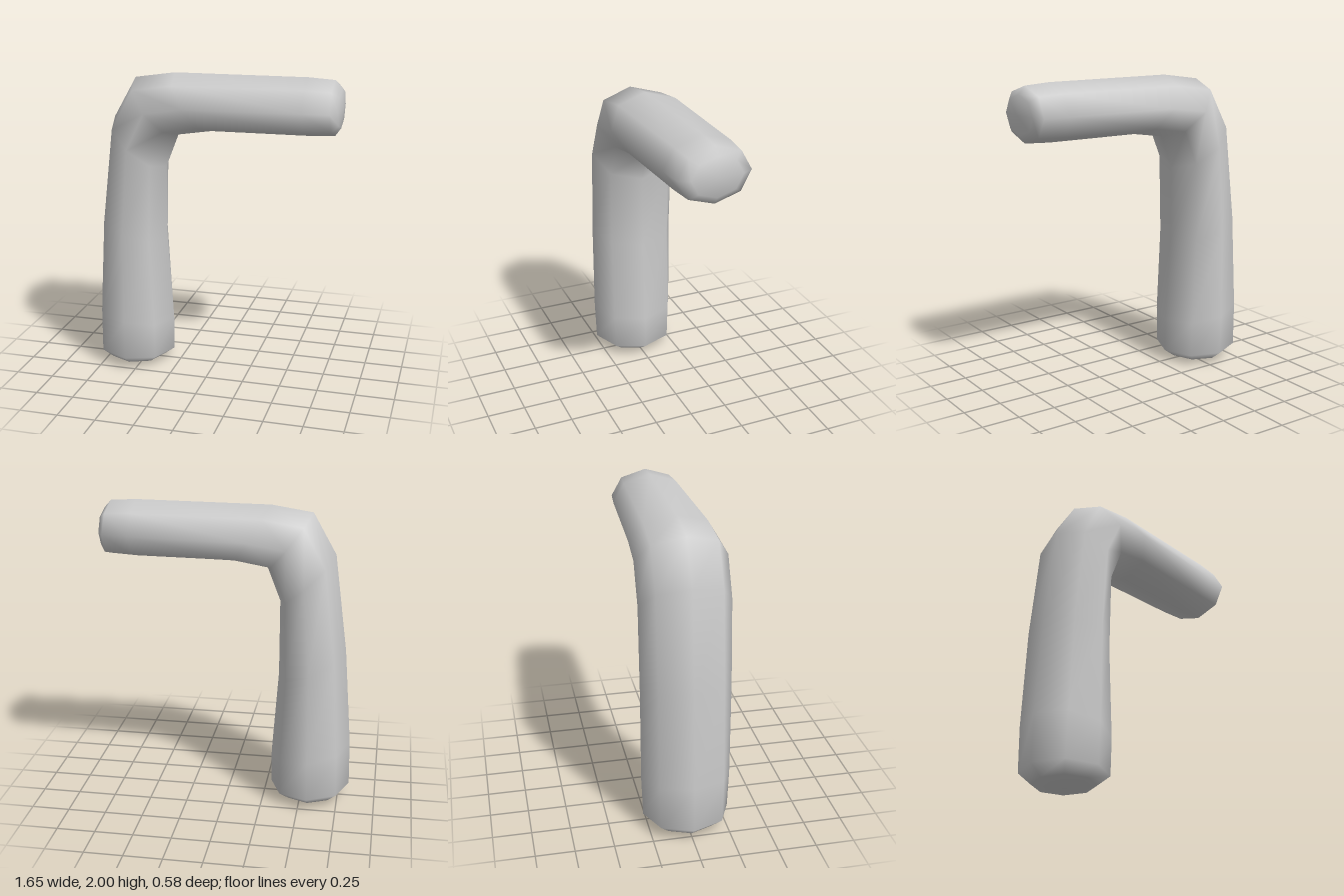
import * as THREE from 'three';

const SIDES = 8;

// Cross-sections along the bend: outer x, outer y, inner x, inner y, half depth
const SECTIONS = [
  [-0.75, 0.025, -0.37, 0.02, 0.2],
  [-0.825, 0.095, -0.295, 0.075, 0.28],
  [-0.82, 0.4, -0.295, 0.3, 0.29],
  [-0.77, 1.05, -0.335, 0.87, 0.29],
  [-0.685, 1.69, -0.335, 1.37, 0.29],
  [-0.535, 1.955, -0.25, 1.59, 0.29],
  [-0.27, 1.995, -0.03, 1.625, 0.28],
  [0.6, 2.0, 0.6, 1.63, 0.25],
  [0.765, 1.99, 0.775, 1.64, 0.235],
  [0.81, 1.94, 0.81, 1.69, 0.165],
];

// Skin of eight-sided loops closed by a point at each end
function loft(sections, start, end) {
  const pos = [], index = [];
  for (const [ox, oy, ix, iy, depth] of sections) {
    for (let i = 0; i < SIDES; i++) {
      const a = (i / SIDES) * Math.PI * 2;
      const k = (1 + Math.cos(a)) / 2;
      pos.push(ix + (ox - ix) * k, iy + (oy - iy) * k, Math.sin(a) * depth);
    }
  }
  const last = (sections.length - 1) * SIDES;
  const startId = pos.length / 3;
  pos.push(...start, ...end);

  for (let i = 0; i < SIDES; i++) {
    const j = (i + 1) % SIDES;
    for (let r = 0; r < last; r += SIDES) {
      index.push(r + i, r + j, r + SIDES + j, r + i, r + SIDES + j, r + SIDES + i);
    }
    index.push(startId, j, i, startId + 1, last + i, last + j);
  }

  const geometry = new THREE.BufferGeometry();
  geometry.setAttribute('position', new THREE.Float32BufferAttribute(pos, 3));
  geometry.setIndex(index);
  geometry.computeVertexNormals();
  return geometry;
}

export function createModel() {
  const group = new THREE.Group();
  group.name = 'bentPipe';

  // Upright stem, elbow and horizontal arm in one smooth skin
  const pipe = new THREE.Mesh(
    loft(SECTIONS, [-0.555, 0, 0], [0.822, 1.815, 0]),
    new THREE.MeshStandardMaterial({ color: 0xcccccc })
  );
  pipe.name = 'stemAndArm';
  group.add(pipe);
  return group;
}
